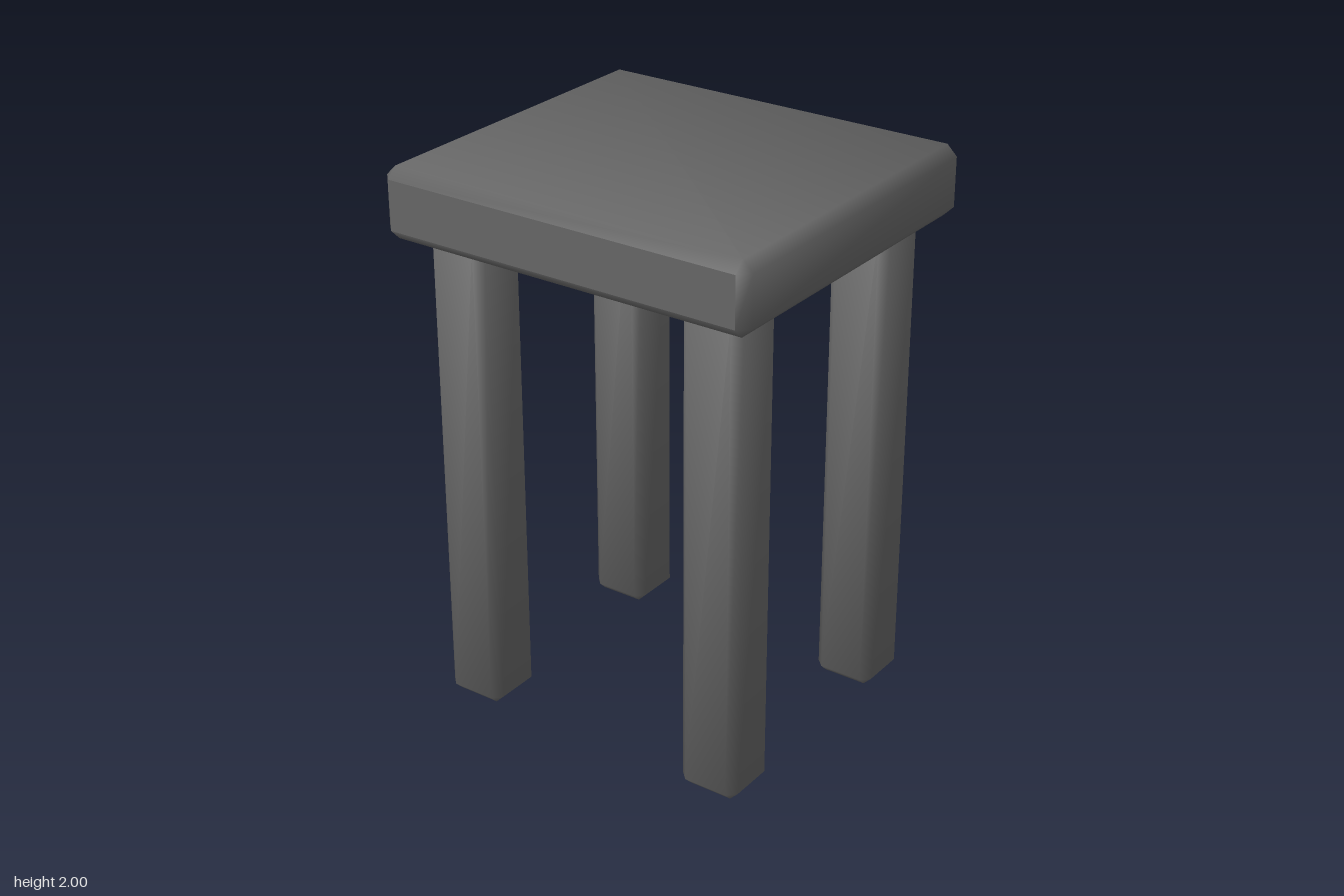
import * as THREE from 'three';

const material = new THREE.MeshStandardMaterial({ color: 0x666666, side: THREE.DoubleSide });

// Box with chamfered edges and soft shading, made of rings of eight points.
// w, d: half sizes; c: chamfer; lid: close the top with a chamfer and a flat face;
// skip(band, side): leave a panel out. Sides: 1 right, 3 back, 5 left, 7 front, even are corners.
function chamferedBox(w, d, y0, y1, c, { lid = false, skip = () => false } = {}) {
  const position = [], normal = [], index = [];
  const addRing = (y, ySign, inset) => {
    const a = w - c, b = d - c, W = inset ? a : w, D = inset ? b : d;
    const points = [[a, D], [W, b], [W, -b], [a, -D], [-a, -D], [-W, -b], [-W, b], [-a, D]];
    points.forEach(([x, z], i) => {
      // normals lean mainly towards the flat face the point belongs to
      const facesX = i % 4 === 1 || i % 4 === 2;
      const nx = !inset && facesX ? 0.86 : 0.36;
      const nz = !inset && !facesX ? 0.86 : 0.36;
      position.push(x, y, z);
      normal.push(Math.sign(x) * nx, ySign * (inset ? 0.86 : 0.36), Math.sign(z) * nz);
    });
  };
  addRing(y0, -1, true);
  addRing(y0 + c, -1, false);
  addRing(lid ? y1 - c : y1, 1, false);
  if (lid) addRing(y1, 1, true);

  for (let band = 0; band < (lid ? 3 : 2); band++) {
    for (let i = 0; i < 8; i++) {
      if (skip(band, i)) continue;
      const j = (i + 1) % 8, lo = band * 8, hi = lo + 8;
      index.push(lo + i, lo + j, hi + j, lo + i, hi + j, hi + i);
    }
  }
  if (lid) index.push(24, 26, 28, 24, 28, 30);

  const geometry = new THREE.BufferGeometry();
  geometry.setAttribute('position', new THREE.Float32BufferAttribute(position, 3));
  geometry.setAttribute('normal', new THREE.Float32BufferAttribute(normal, 3));
  geometry.setIndex(index);
  geometry.normalizeNormals();
  return geometry;
}

function add(parent, name, geometry) {
  const mesh = new THREE.Mesh(geometry, material);
  mesh.name = name;
  parent.add(mesh);
  return mesh;
}

export function createModel() {
  const group = new THREE.Group();
  group.name = 'stool';

  // Whole stool is turned about the vertical axis
  const stool = new THREE.Group();
  stool.name = 'stoolBody';
  stool.rotation.y = THREE.MathUtils.degToRad(15);
  group.add(stool);

  // Seat shell: open underneath and at the back
  const W = 0.707, D = 0.638, C = 0.037;
  add(stool, 'seat', chamferedBox(W, D, 1.75, 2, C, {
    lid: true,
    skip: (band, side) => (side === 3 && band < 2) || (side === 7 && band === 1),
  }));

  // Flat front panel with hard edges
  const panel = add(stool, 'seatFrontPanel', new THREE.PlaneGeometry(2 * (W - C), 0.25 - 2 * C));
  panel.position.set(0, 1.875, D);

  // Four hollow legs, open at both ends
  const legGeometry = chamferedBox(0.111, 0.111, 0, 1.75, 0.03);
  for (const [x, side] of [[0.505, 'Left'], [-0.5, 'Right']]) {
    for (const [z, end] of [[0.425, 'front'], [-0.433, 'back']]) {
      add(stool, end + side + 'Leg', legGeometry).position.set(x, 0, z);
    }
  }
  return group;
}
